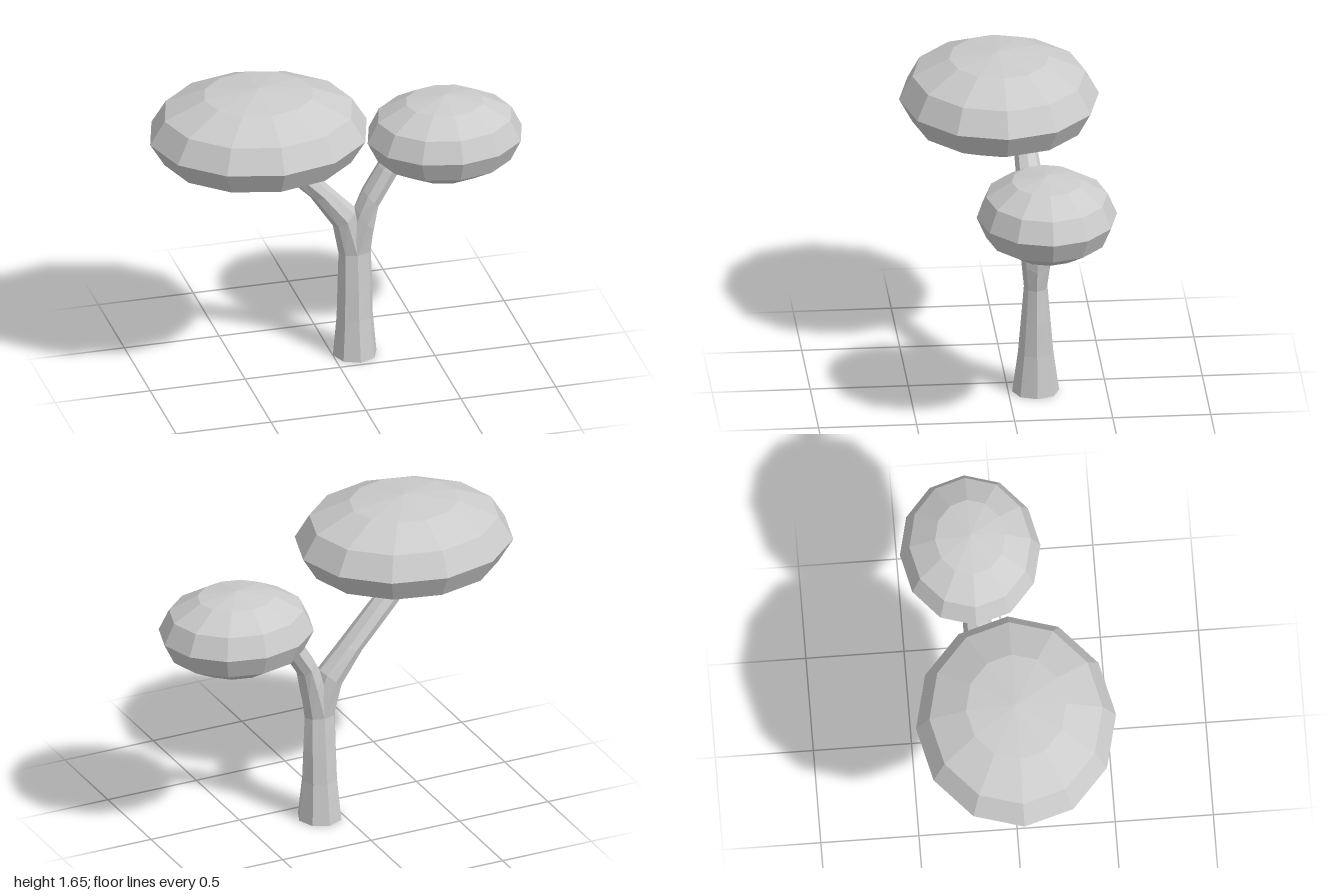
import * as THREE from 'three';

const SIDES = 8;
const material = new THREE.MeshStandardMaterial({ color: 0xcccccc, flatShading: true });

// Octagonal limb; each ring is [leftX, leftY, rightX, rightY, centreZ, halfDepth]
function limb(name, rings) {
  const pos = [], index = [];
  for (const [lx, ly, rx, ry, z, d] of rings) {
    for (let j = 0; j < SIDES; j++) {
      const a = (j / SIDES) * Math.PI * 2, c = Math.cos(a);
      pos.push((lx + rx) / 2 + c * (rx - lx) / 2, (ly + ry) / 2 + c * (ry - ly) / 2, z + Math.sin(a) * d);
    }
  }
  for (let i = 0; i < rings.length - 1; i++) {
    for (let j = 0; j < SIDES; j++) {
      const k = (j + 1) % SIDES, a = i * SIDES + j, b = i * SIDES + k;
      index.push(a, a + SIDES, b, b, a + SIDES, b + SIDES);
    }
  }
  // end caps
  const top = (rings.length - 1) * SIDES;
  for (let j = 1; j < SIDES - 1; j++) {
    index.push(0, j, j + 1, top, top + j + 1, top + j);
  }
  const geometry = new THREE.BufferGeometry();
  geometry.setAttribute('position', new THREE.Float32BufferAttribute(pos, 3));
  geometry.setIndex(index);
  geometry.computeVertexNormals();
  const mesh = new THREE.Mesh(geometry, material);
  mesh.name = name;
  return mesh;
}

// Faceted, flattened ball of leaves
function canopy(name, centre, radii) {
  const geometry = new THREE.SphereGeometry(1, 12, 6);
  geometry.scale(...radii);
  const mesh = new THREE.Mesh(geometry, material);
  mesh.position.set(...centre);
  mesh.name = name;
  return mesh;
}

export function createModel() {
  const tree = new THREE.Group();
  tree.name = 'tree';
  const fork = [0.03, 0.58, 0.2, 0.58, -0.14, 0.06];

  tree.add(
    // trunk, flared at the foot
    limb('trunk', [
      [0, 0, 0.23, 0, -0.14, 0.12],
      [0.02, 0.22, 0.21, 0.22, -0.14, 0.09],
      [0.025, 0.4, 0.207, 0.4, -0.14, 0.075],
      fork,
    ]),
    // the two branches share the fork ring
    limb('rightBranch', [
      fork,
      [0, 0.74, 0.115, 0.83, -0.14, 0.077],
      [-0.12, 0.92, 0, 0.95, -0.14, 0.072],
      [-0.27, 1.07, -0.16, 1.12, -0.13, 0.065],
      [-0.48, 1.28, -0.38, 1.34, -0.11, 0.05],
    ]),
    limb('leftBranch', [
      fork,
      [0.115, 0.83, 0.215, 0.69, -0.14, 0.077],
      [0.16, 0.92, 0.235, 0.83, -0.14, 0.077],
      [0.24, 1.05, 0.34, 1.0, -0.145, 0.072],
      [0.4, 1.25, 0.48, 1.2, -0.15, 0.05],
    ]),
    canopy('largeCanopy', [-0.43, 1.4, 0], [0.57, 0.25, 0.51]),
    canopy('smallCanopy', [0.594, 1.173, -0.156], [0.406, 0.222, 0.358]),
  );
  return tree;
}
